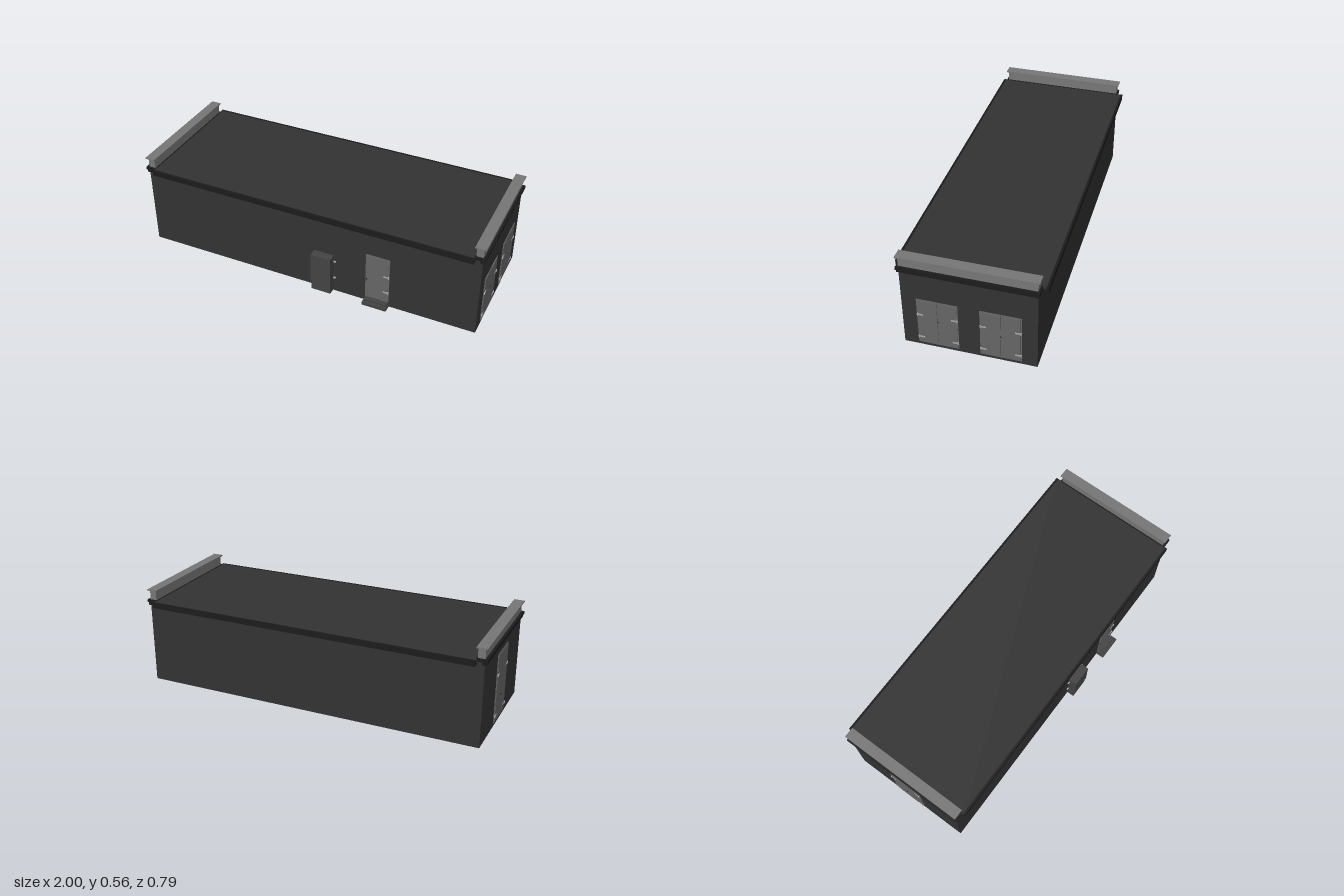
import * as THREE from 'three';

const mat = (color) => new THREE.MeshStandardMaterial({ color, side: THREE.DoubleSide });
const wallMat = mat(0x333333);
const trimMat = mat(0x1c1c1c);
const doorMat = mat(0x666666);
const capMat = mat(0x777777);
const metalMat = mat(0xaaaaaa);
const boxMat = mat(0x444444);

// Box given by its min and max on each axis
function block(name, [x0, x1], [y0, y1], [z0, z1], material) {
  const mesh = new THREE.Mesh(new THREE.BoxGeometry(x1 - x0, y1 - y0, z1 - z0), material);
  mesh.position.set((x0 + x1) / 2, (y0 + y1) / 2, (z0 + z1) / 2);
  mesh.name = name;
  return mesh;
}

// Strap hinge: flat strap with an upright pin; side is -1 or +1 for the outer end
function hinge(side) {
  const g = new THREE.Group();
  g.name = 'hinge';
  g.add(block('hingeStrap', [-0.014, 0.014], [-0.004, 0.004], [0, 0.003], metalMat));
  const pin = new THREE.Mesh(new THREE.CylinderGeometry(0.004, 0.004, 0.014, 10), metalMat);
  pin.name = 'hingePin';
  pin.position.set(side * 0.016, 0, 0.002);
  g.add(pin);
  return g;
}

// Door in its own plane: x across, y up, z outward
function door(name, w, y0, y1, opts) {
  const g = new THREE.Group();
  g.name = name;
  const h = w / 2, f = 0.006;
  const inner = opts.through ? -0.002 : 0.0005;
  // Frame with a rectangular opening
  const frame = new THREE.Shape([[-h, y0], [h, y0], [h, y1], [-h, y1]].map((p) => new THREE.Vector2(...p)));
  frame.holes.push(new THREE.Path([[-h + f, y0 + f], [-h + f, y1 - f], [h - f, y1 - f], [h - f, y0 + f]]
    .map((p) => new THREE.Vector2(...p))));
  const rim = new THREE.Mesh(new THREE.ExtrudeGeometry(frame, { depth: 0.003, bevelEnabled: false }), doorMat);
  rim.name = 'doorFrame';
  g.add(rim);
  // Leaves
  const leaves = opts.leaves ?? 1, lw = (w - 2 * f) / leaves;
  for (let i = 0; i < leaves; i++) {
    const x = -h + f + i * lw;
    g.add(block('doorLeaf', [x, x + lw - (i < leaves - 1 ? 0.0015 : 0)], [y0 + f, y1 - f], [inner, 0.005], doorMat));
  }
  // Hinges
  for (const side of opts.hingeSides) {
    for (const y of opts.hingeY) {
      const hg = hinge(side);
      hg.position.set(side * (h - 0.02), y, 0.004);
      g.add(hg);
    }
  }
  // Handle
  const knob = new THREE.Mesh(new THREE.SphereGeometry(0.004, 10, 8), trimMat);
  knob.name = 'doorHandle';
  knob.position.set(opts.handle[0], opts.handle[1], 0.007);
  g.add(knob);
  return g;
}

export function createModel() {
  const model = new THREE.Group();
  model.name = 'building';
  const X = 0.985, Z0 = -0.356, Z1 = 0.347, ROOF = 0.496;

  // Wall shell, open underneath
  const shell = block('walls', [-X, X], [0, ROOF - 0.004], [Z0, Z1], wallMat);
  const index = Array.from(shell.geometry.index.array);
  index.splice(18, 6);
  shell.geometry.setIndex(index);
  shell.geometry.clearGroups();
  model.add(shell);

  // Roof slab
  model.add(block('roof', [-0.945, 0.945], [0.488, 0.498], [-0.394, 0.375], wallMat));

  // Long eaves, front and back
  for (const [wall, edge] of [[Z1, 0.377], [Z0, -0.396]]) {
    const s = Math.sign(edge);
    const span = (a, b) => [Math.min(a, b), Math.max(a, b)];
    model.add(block('eavesFascia', [-0.945, 0.945], [0.467, 0.499], span(edge - s * 0.012, edge), trimMat));
    model.add(block('eavesSoffit', [-0.945, 0.945], [0.467, 0.476], span(wall, edge), trimMat));
  }

  // End cornices and parapets
  for (const s of [-1, 1]) {
    const span = (a, b) => (s > 0 ? [a, b] : [-b, -a]);
    model.add(block('endCorniceUpper', span(0.94, 1.0), [0.484, 0.5], [-0.366, 0.358], trimMat));
    model.add(block('endCorniceLower', span(0.97, 0.994), [0.467, 0.484], [-0.363, 0.355], trimMat));
    model.add(block('parapet', span(0.946, 0.985), [0.49, 0.554], [Z0, Z1], capMat));
    model.add(block('parapetCap', span(0.938, 0.997), [0.554, 0.561], [-0.366, 0.358], capMat));
  }

  // Two double doors on the +x end
  for (const [z, hx, hy] of [[0.16, 0.003, 0.178], [-0.168, 0, 0.162]]) {
    const d = door('endDoubleDoor', 0.216, 0.018, 0.306,
      { leaves: 2, hingeSides: [-1, 1], hingeY: [0.058, 0.208], handle: [hx, hy] });
    d.position.set(X, 0, z);
    d.rotation.y = Math.PI / 2;
    model.add(d);
  }

  // Tall door on the -x end
  const tall = door('endTallDoor', 0.195, 0.018, 0.42,
    { hingeSides: [-1, 1], hingeY: [0.06, 0.3], handle: [-0.005, 0.155], through: true });
  tall.position.set(-X, 0, -0.005);
  tall.rotation.y = -Math.PI / 2;
  model.add(tall);

  // Front door and its two steps
  const front = door('frontDoor', 0.138, 0.03, 0.317,
    { hingeSides: [1], hingeY: [0.095, 0.2], handle: [-0.06, 0.155] });
  front.position.set(0.426, 0, Z1);
  model.add(front);
  model.add(block('lowerStep', [0.356, 0.497], [0, 0.018], [Z1, 0.394], boxMat));
  model.add(block('upperStep', [0.36, 0.493], [0.018, 0.03], [Z1, 0.378], boxMat));

  // Utility cabinet on the front wall, with side brackets
  model.add(block('cabinetBase', [0.052, 0.166], [0.004, 0.066], [0.345, 0.39], boxMat));
  model.add(block('cabinet', [0.05, 0.168], [0.066, 0.243], [0.345, 0.395], boxMat));
  for (const [a, b] of [[0.037, 0.05], [0.168, 0.181]]) {
    for (const y of [0.093, 0.204]) {
      model.add(block('cabinetBracket', [a, b], [y - 0.004, y + 0.004], [Z1, 0.354], metalMat));
    }
  }
  return model;
}
